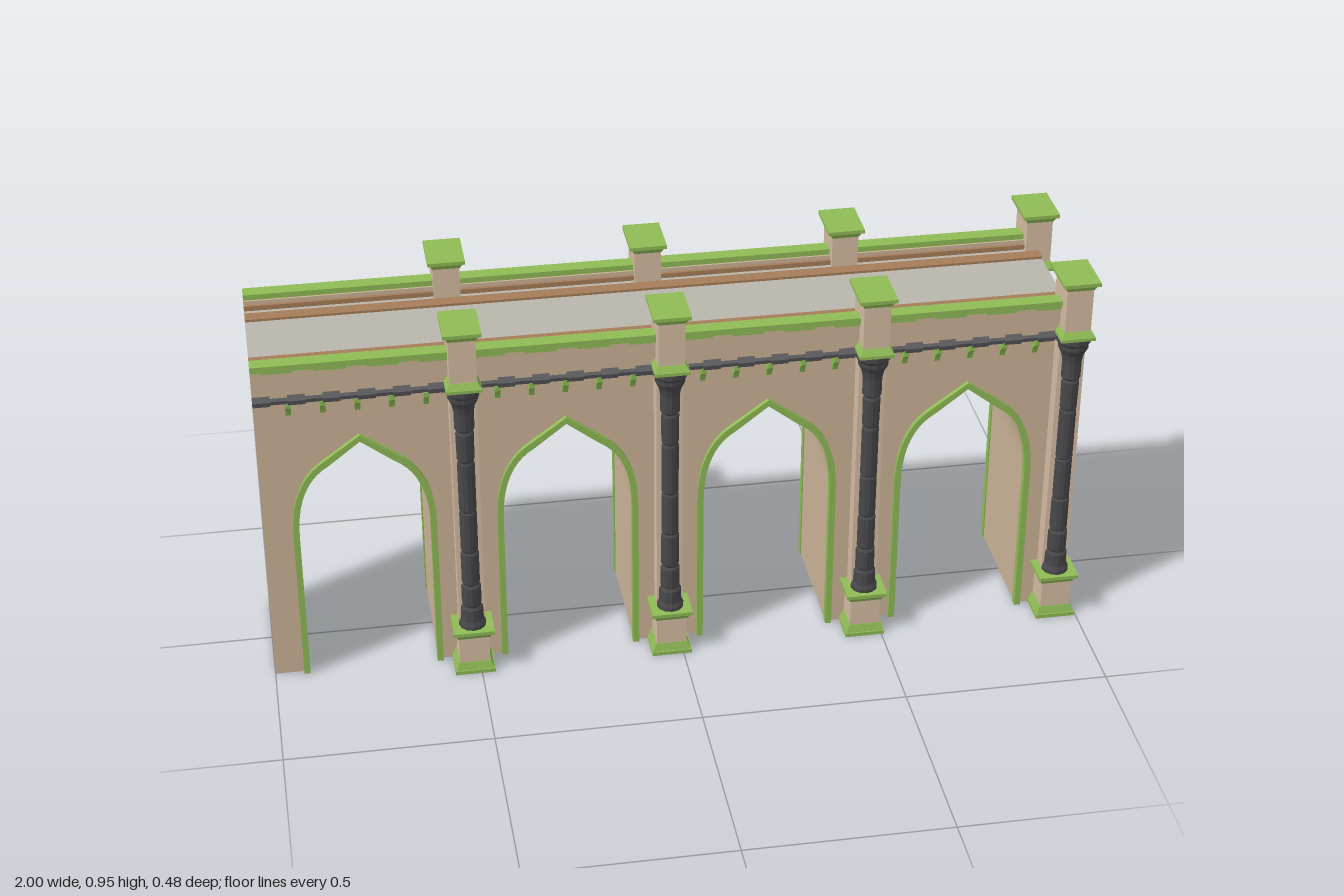
import * as THREE from 'three';

const mat = (name, color, extra = {}) => {
  const m = new THREE.MeshStandardMaterial({ color, ...extra });
  m.name = name;
  return m;
};

export function createModel() {
  const tan = mat('sandstone', 0xcbb397);
  const pale = mat('paleSandstone', 0xd5bca2);
  const green = mat('greenTrim', 0x8fbb55);
  const iron = mat('darkIron', 0x48484b, { flatShading: true });
  const slate = mat('slateGrey', 0x636367, { flatShading: true });
  const grey = mat('roadGrey', 0xb9b5ad);
  const brown = mat('brownKerb', 0xa67d59);

  const model = new THREE.Group();
  model.name = 'archedViaduct';
  const columns = [-0.516, -0.029, 0.458, 0.947];
  const archCentres = columns.map((x) => x - 0.243);
  const xMin = -1, xMax = 0.945, length = xMax - xMin, xMid = (xMin + xMax) / 2;

  const add = (parent, name, geo, material, x = 0, y = 0, z = 0) => {
    const mesh = new THREE.Mesh(geo, material);
    mesh.name = name;
    mesh.position.set(x, y, z);
    parent.add(mesh);
    return mesh;
  };

  // Box between two heights and two depths, running along the whole bridge
  const strip = (name, material, y0, y1, z0, z1, s) =>
    add(model, name, new THREE.BoxGeometry(length, y1 - y0, z1 - z0), material,
      xMid, (y0 + y1) / 2, s * (z0 + z1) / 2);

  // Rectangular block whose top may be wider or narrower than its foot
  const block = (parent, name, material, y0, y1, w0, d0, w1 = w0, d1 = d0) => {
    const geo = new THREE.BoxGeometry(1, y1 - y0, 1);
    const p = geo.attributes.position;
    for (let i = 0; i < p.count; i++) {
      const top = p.getY(i) > 0;
      p.setX(i, p.getX(i) * (top ? w1 : w0));
      p.setZ(i, p.getZ(i) * (top ? d1 : d0));
    }
    geo.computeVertexNormals();
    return add(parent, name, geo, material, 0, (y0 + y1) / 2, 0);
  };

  // Pointed arch outline, from left foot over the apex to right foot
  const archPoints = (cx, inset) => {
    const curve = new THREE.QuadraticBezierCurve(
      new THREE.Vector2(0.171 - inset, 0.4),
      new THREE.Vector2(0.171 - inset, 0.55 - inset * 0.4),
      new THREE.Vector2(0.085 - inset * 0.5, 0.605 - inset));
    const half = [new THREE.Vector2(0.171 - inset, 0), ...curve.getPoints(10)];
    const left = half.map((p) => new THREE.Vector2(cx - p.x, p.y));
    const right = half.map((p) => new THREE.Vector2(cx + p.x, p.y)).reverse();
    return [...left, new THREE.Vector2(cx, 0.667 - inset * 1.1), ...right];
  };

  // Main wall with four arched passages
  const outline = [new THREE.Vector2(xMin, 0.847), new THREE.Vector2(xMin, 0)];
  archCentres.forEach((cx) => outline.push(...archPoints(cx, 0.012)));
  outline.push(new THREE.Vector2(xMax, 0), new THREE.Vector2(xMax, 0.847));
  const wallGeo = new THREE.ExtrudeGeometry(new THREE.Shape(outline), { depth: 0.31, bevelEnabled: false });
  add(model, 'archedWall', wallGeo, tan, 0, 0, -0.155);

  // Roadway
  add(model, 'roadway', new THREE.BoxGeometry(length, 0.004, 0.3), grey, xMid, 0.848, 0);

  // Column outline: radius, height
  const columnProfile = [
    [0.033, 0.125], [0.033, 0.135], [0.028, 0.145], [0.027, 0.178], [0.022, 0.185], [0.024, 0.192],
    [0.024, 0.24], [0.019, 0.246], [0.022, 0.252], [0.022, 0.335], [0.018, 0.34], [0.021, 0.346],
    [0.021, 0.45], [0.018, 0.455], [0.021, 0.46], [0.021, 0.588], [0.018, 0.594], [0.021, 0.6],
    [0.022, 0.672], [0.018, 0.678], [0.024, 0.685], [0.024, 0.73], [0.028, 0.75], [0.037, 0.768],
    [0.037, 0.778], [0.042, 0.786], [0.042, 0.798], [0.001, 0.8],
  ].map(([r, y]) => new THREE.Vector2(r, y));
  const columnGeo = new THREE.LatheGeometry(columnProfile, 12);

  // Curved bracket hanging under the cornice
  const bracketShape = new THREE.Shape();
  bracketShape.moveTo(0, 0.732);
  bracketShape.lineTo(0.007, 0.735);
  bracketShape.quadraticCurveTo(0.012, 0.757, 0.029, 0.766);
  bracketShape.lineTo(0.029, 0.779);
  bracketShape.lineTo(0, 0.779);
  const bracketGeo = new THREE.ExtrudeGeometry(bracketShape, { depth: 0.013, bevelEnabled: false, curveSegments: 4 });
  bracketGeo.translate(0, 0, -0.0065);

  for (const s of [1, -1]) {
    // Parapet with its coping and inner kerbs
    strip('parapet', tan, 0.795, 0.872, 0.151, 0.183, s);
    strip('parapetCoping', green, 0.871, 0.886, 0.156, 0.192, s);
    strip('parapetInnerLedge', brown, 0.85, 0.862, 0.143, 0.153, s);
    strip('kerb', brown, 0.849, 0.856, 0.089, 0.122, s);
    strip('kerbEdge', tan, 0.849, 0.853, 0.122, 0.126, s);

    // Thicker lips below the coping
    for (let i = 0; i < 16; i++) {
      add(model, 'copingLip', new THREE.BoxGeometry(0.075, 0.008, 0.008), green,
        -0.94 + i * 0.122, 0.868, s * 0.185);
    }

    // Ribbed cornice
    const ribs = 48, step = length / ribs;
    for (let i = 0; i < ribs; i++) {
      const r = i % 2 ? 0.016 : 0.0195;
      const geo = new THREE.CylinderGeometry(r, r, step, 8);
      geo.rotateX(0.3).rotateX(-0.3).rotateZ(Math.PI / 2);
      add(model, 'corniceRib', geo, slate, xMin + (i + 0.5) * step, 0.789, s * 0.17);
    }

    // Brackets, five to a bay
    for (const cx of archCentres) {
      for (let k = -2; k <= 2; k++) {
        const b = add(model, 'bracket', bracketGeo, green, cx + k * 0.08, 0, s * 0.155);
        b.rotation.y = -s * Math.PI / 2;
      }
    }

    // Arch trims
    for (const cx of archCentres) {
      const ring = [...archPoints(cx, 0), ...archPoints(cx, 0.015).reverse()];
      const geo = new THREE.ExtrudeGeometry(new THREE.Shape(ring), { depth: 0.02, bevelEnabled: false });
      add(model, 'archTrim', geo, green, 0, 0, s * 0.157 - 0.01);
    }

    // Piers: pedestal, pilaster, column and parapet post
    for (const x of columns) {
      const pier = new THREE.Group();
      pier.name = 'pier';
      pier.position.set(x, 0, s * 0.177);
      model.add(pier);
      block(pier, 'pedestalFoot', green, 0, 0.01, 0.098, 0.115);
      block(pier, 'pedestalFootMoulding', green, 0.01, 0.03, 0.094, 0.109, 0.078, 0.097);
      block(pier, 'pedestal', pale, 0.03, 0.102, 0.074, 0.095);
      block(pier, 'pedestalCapMoulding', green, 0.1, 0.117, 0.078, 0.1, 0.092, 0.116);
      block(pier, 'pedestalCap', green, 0.117, 0.126, 0.1, 0.13);
      block(pier, 'pilaster', pale, 0.126, 0.8, 0.064, 0.07).position.z = -s * 0.017;
      block(pier, 'postFoot', green, 0.798, 0.806, 0.084, 0.122);
      block(pier, 'postFootMoulding', green, 0.806, 0.82, 0.082, 0.118, 0.066, 0.1);
      block(pier, 'post', pale, 0.82, 0.932, 0.064, 0.096);
      block(pier, 'postCapMoulding', green, 0.93, 0.944, 0.066, 0.098, 0.08, 0.112);
      block(pier, 'postCap', green, 0.944, 0.953, 0.09, 0.122);
      add(pier, 'column', columnGeo, iron, 0, 0, s * 0.022);
    }
  }
  return model;
}
